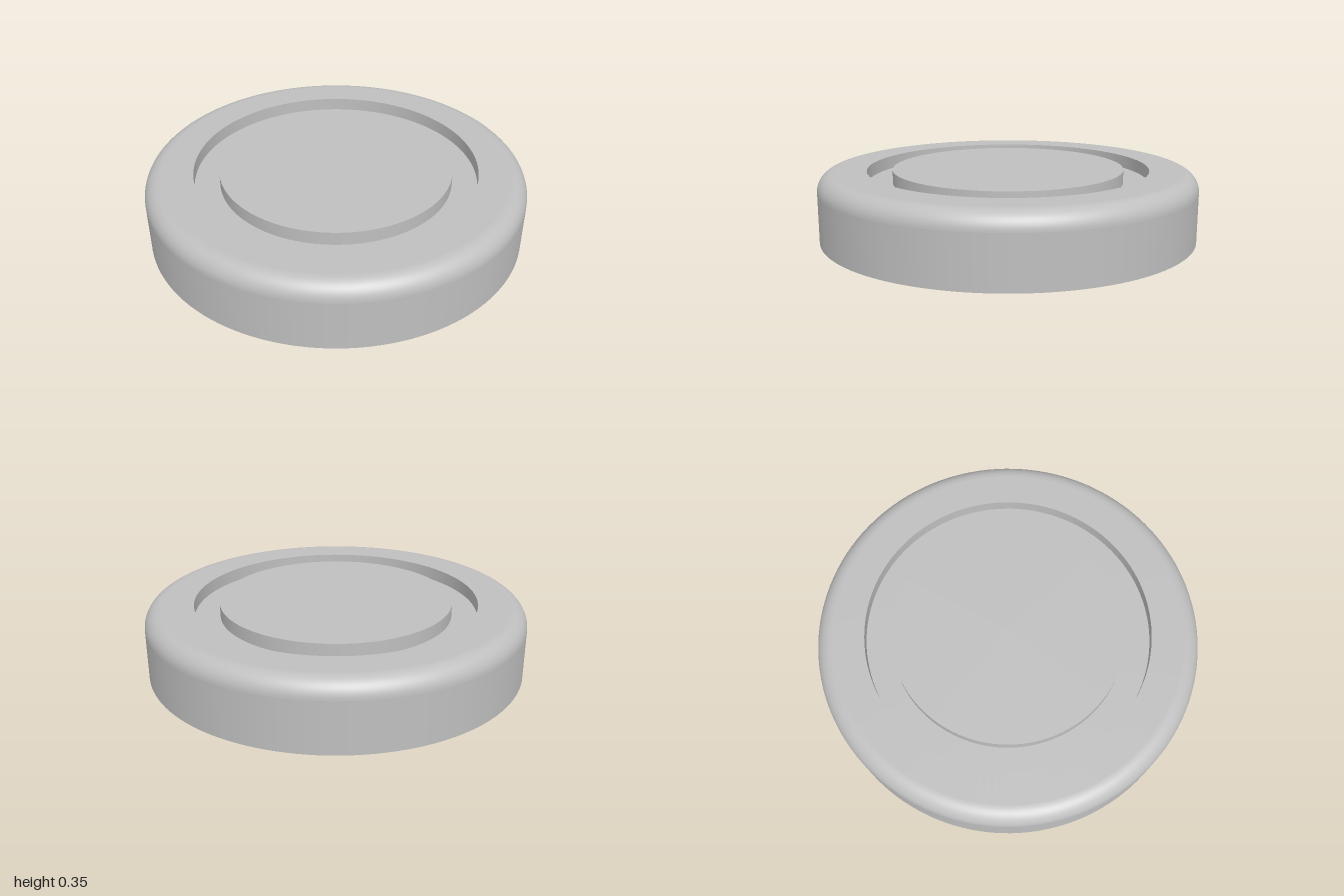
import * as THREE from 'three';

const HEIGHT = 0.355, FILLET = 0.09, GROOVE_DEPTH = 0.07;
const GROOVE_OUTER = 0.745, GROOVE_INNER = 0.612, SEGMENTS = 128;

export function createModel() {
  const model = new THREE.Group();
  model.name = 'groovedDisc';
  const grey = new THREE.MeshStandardMaterial({ color: 0xbfbfbf });
  grey.name = 'plain grey';

  // Each smooth run of the profile is its own surface, so corners stay sharp
  const addSurface = (name, points) => {
    const profile = points.map(([r, y]) => new THREE.Vector2(r, y));
    const mesh = new THREE.Mesh(new THREE.LatheGeometry(profile, SEGMENTS), grey);
    mesh.name = name;
    model.add(mesh);
  };

  // Quarter-round edge between the side wall and the top
  const fillet = [];
  for (let i = 0; i <= 12; i++) {
    const a = (i / 12) * Math.PI / 2;
    fillet.push([1 - FILLET + FILLET * Math.cos(a), HEIGHT - FILLET + FILLET * Math.sin(a)]);
  }

  const floor = HEIGHT - GROOVE_DEPTH;
  addSurface('base', [[0, 0], [1, 0]]);
  addSurface('sideWall', [[1, 0], [1, HEIGHT - FILLET]]);
  addSurface('roundedEdge', fillet);
  addSurface('topRim', [[1 - FILLET, HEIGHT], [GROOVE_OUTER, HEIGHT]]);
  addSurface('grooveOuterWall', [[GROOVE_OUTER, HEIGHT], [GROOVE_OUTER, floor]]);
  addSurface('grooveFloor', [[GROOVE_OUTER, floor], [GROOVE_INNER, floor]]);
  addSurface('grooveInnerWall', [[GROOVE_INNER, floor], [GROOVE_INNER, HEIGHT]]);
  addSurface('centreTop', [[GROOVE_INNER, HEIGHT], [0, HEIGHT]]);

  return model;
}
